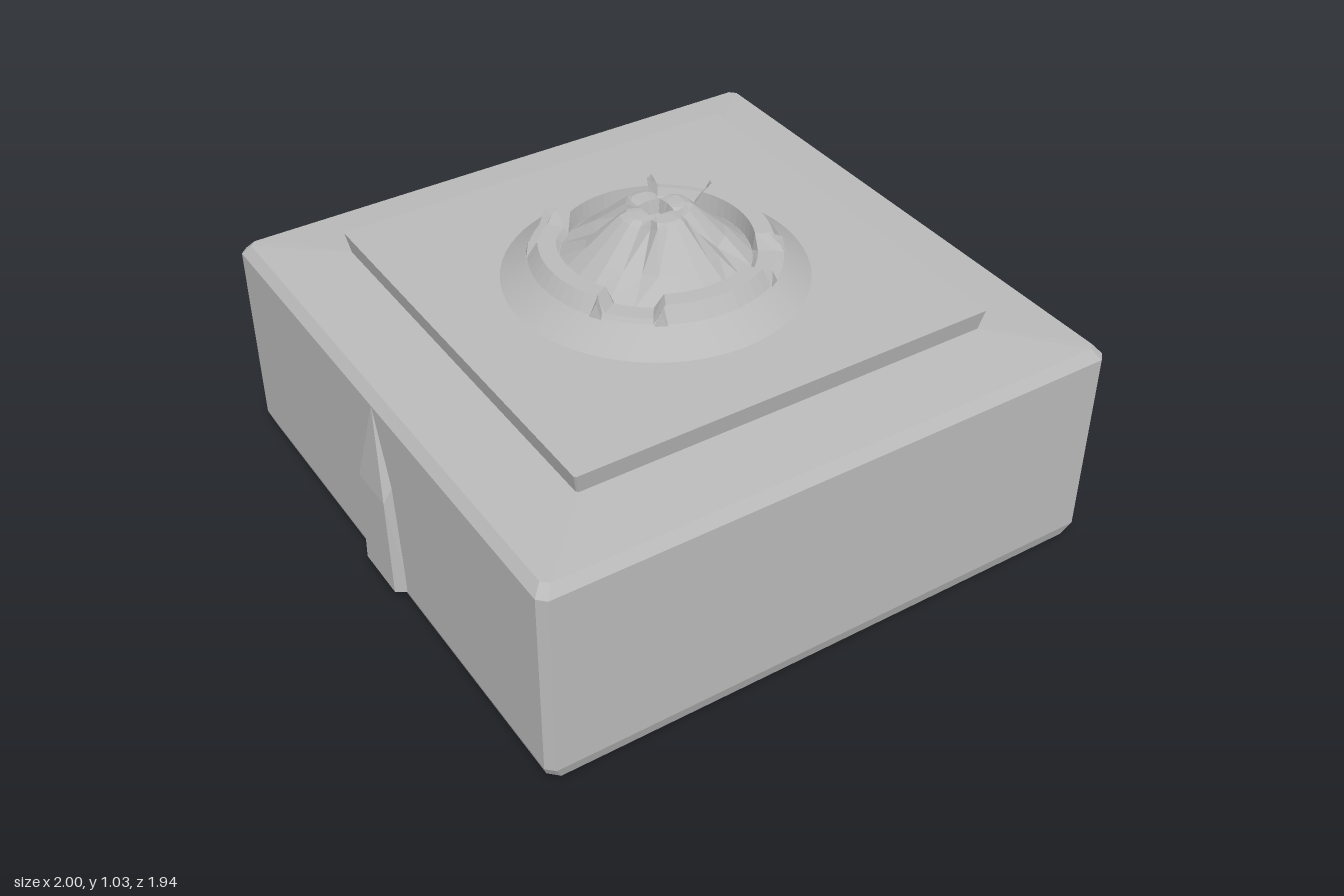
import * as THREE from 'three';
import { ConvexGeometry } from 'three/addons/geometries/ConvexGeometry.js';

const grey = new THREE.MeshStandardMaterial({ color: 0xb9b9b9, side: THREE.DoubleSide });
grey.name = 'plain grey';

// Skin equal-length closed loops of [x, y, z], running upward and counter-clockwise from above.
function loft(loops, smooth = false) {
  const n = loops[0].length, index = [];
  for (let r = 0; r < loops.length - 1; r++) {
    for (let i = 0; i < n; i++) {
      const a = r * n + i, b = r * n + (i + 1) % n;
      index.push(a, b, b + n, a, b + n, a + n);
    }
  }
  let geo = new THREE.BufferGeometry();
  geo.setAttribute('position', new THREE.Float32BufferAttribute(loops.flat(2), 3));
  geo.setIndex(index);
  if (!smooth) geo = geo.toNonIndexed();
  geo.computeVertexNormals();
  return geo;
}

// Square loop with cut corners
function square(h, y, c) {
  const p = h - c;
  return [[h, p], [h, -p], [p, -h], [-p, -h], [-h, -p], [-h, p], [-p, h], [p, h]]
    .map(([x, z]) => [x, y, z]);
}

function ring(n, fn) {
  return Array.from({ length: n }, (_, i) => {
    const t = (i / n) * Math.PI * 2;
    const [r, y] = fn(t);
    return [Math.cos(t) * r, y, -Math.sin(t) * r];
  });
}

// 1 on the four diagonals, -1 on the axes
const diagonal = (t) => -Math.cos(4 * t);

export function createModel() {
  const model = new THREE.Group();
  model.name = 'steppedBlock';
  const add = (name, geometry) => {
    const mesh = new THREE.Mesh(geometry, grey);
    mesh.name = name;
    model.add(mesh);
    return mesh;
  };

  // Bevelled block with a barely sloping top
  add('body', loft([
    square(0.95, 0, 0.03), square(0.968, 0.05, 0.025), square(0.972, 0.69, 0.025),
    square(0.945, 0.722, 0.02), square(0.70, 0.74, 0.01),
  ]));

  // Underside with a shallow slot near one corner
  const outline = new THREE.Shape(square(0.95, 0, 0.03).map(([x, , z]) => new THREE.Vector2(x, z)));
  const slot = [[-0.68, 0.74], [-0.28, 0.74], [-0.28, 0.90], [-0.68, 0.90]];
  outline.holes.push(new THREE.Path(slot.map(([x, z]) => new THREE.Vector2(x, z))));
  add('underside', new THREE.ShapeGeometry(outline).rotateX(Math.PI / 2));
  const slotLoop = (k, y) => slot.map(([x, z]) => [-0.48 + (x + 0.48) * k, y, 0.82 + (z - 0.82) * k]);
  add('undersideSlot', loft([slotLoop(1, 0), slotLoop(0.8, 0.05), slotLoop(0, 0.05)]));

  // Raised square plinth, flaring a little upward
  add('plinth', loft([
    square(0.698, 0.735, 0.005), square(0.712, 0.806, 0.005), square(0.001, 0.808, 0),
  ]));

  // Tapered buttress on each side
  for (const s of [-1, 1]) {
    const points = [[0.972, 0.69, 0]];
    for (const m of [-1, 1]) {
      points.push([0.96, 0.05, 0.12 * m], [1, 0.05, 0.095 * m],
        [1, 0.39, 0.082 * m], [0.965, 0.45, 0.085 * m]);
    }
    add(s > 0 ? 'leftButtress' : 'rightButtress',
      new ConvexGeometry(points.map(([x, y, z]) => new THREE.Vector3(s * x, y, z))));
  }

  // Thin slanting crease on the left side
  add('sideCrease', new ConvexGeometry([
    [0.965, 0.49, 0], [0.978, 0.50, 0], [0.978, 0.555, -0.2], [0.965, 0.545, -0.22],
    [0.972, 0.69, -0.9], [0.965, 0.68, -0.9],
  ].map((p) => new THREE.Vector3(...p))));

  // Smooth flared skirt of the dome
  const N = 64;
  const cut = (t) => diagonal(t) > 0.62;
  add('domeSkirt', loft([
    ring(N, () => [0.48, 0.804]), ring(N, () => [0.43, 0.843]), ring(N, () => [0.39, 0.878]),
  ], true));

  // Rim broken by four diagonal notches
  add('notchedRim', loft([
    ring(N, () => [0.39, 0.878]),
    ring(N, (t) => (cut(t) ? [0.365, 0.882] : [0.358, 0.925])),
    ring(N, (t) => (cut(t) ? [0.31, 0.882] : [0.302, 0.925])),
    ring(N, () => [0.295, 0.865]),
  ]));

  // Small fins standing at the ends of each notch
  for (let q = 0; q < 4; q++) {
    for (const m of [-1, 1]) {
      const t = Math.PI / 4 + q * Math.PI / 2 + m * 0.25;
      const at = (r, y, d) => new THREE.Vector3(Math.cos(t + d) * r, y, -Math.sin(t + d) * r);
      add('rimFin', new ConvexGeometry([
        at(0.31, 0.87, 0), at(0.395, 0.87, -0.05), at(0.395, 0.87, 0.06),
        at(0.385, 0.92, 0), at(0.34, 0.925, m * 0.05),
      ]));
    }
  }

  // Faceted crown: four broad faces with folded diagonal valleys and a small socket
  const M = 24;
  const crownRing = (r, y, rv, yv) => ring(M, (t) => {
    const k = THREE.MathUtils.smoothstep(diagonal(t), 0.2, 1);
    return [r + (rv - r) * k, y + (yv - y) * k];
  });
  add('crown', loft([
    crownRing(0.295, 0.865, 0.295, 0.865),
    crownRing(0.22, 0.93, 0.19, 0.915),
    crownRing(0.115, 1.025, 0.075, 1.0),
    crownRing(0.095, 1.033, 0.06, 1.025),
    crownRing(0.042, 1.033, 0.055, 1.03),
    crownRing(0.03, 0.99, 0.04, 0.99),
    crownRing(0.001, 0.99, 0.001, 0.99),
  ]));

  return model;
}
